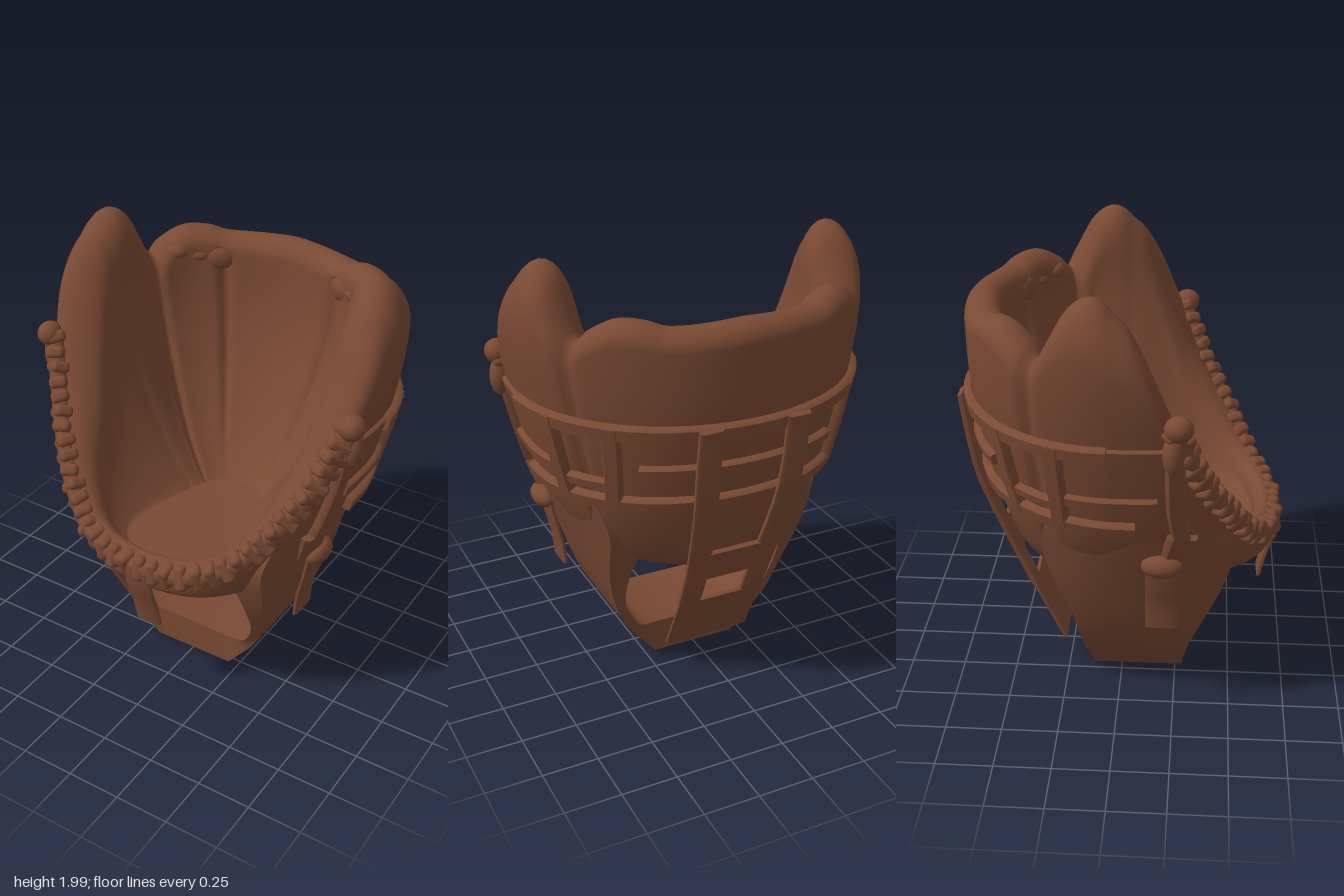
import * as THREE from 'three';
import { toCreasedNormals } from 'three/addons/utils/BufferGeometryUtils.js';
import { RoundedBoxGeometry } from 'three/addons/geometries/RoundedBoxGeometry.js';

const V = (x, y, z) => new THREE.Vector3(x, y, z);
const RAD = Math.PI / 180;
const leather = new THREE.MeshStandardMaterial({ color: 0x7a4a33 });
leather.name = 'brown leather';

// Smooth interpolation through [key, value] pairs
function interp(t, x) {
  const n = t.length - 1;
  if (x <= t[0][0]) return t[0][1];
  if (x >= t[n][0]) return t[n][1];
  let i = 0;
  while (x > t[i + 1][0]) i++;
  const slope = (k) => {
    const a = t[Math.max(k - 1, 0)], b = t[Math.min(k + 1, n)];
    return (b[1] - a[1]) / (b[0] - a[0]);
  };
  const h = t[i + 1][0] - t[i][0], s = (x - t[i][0]) / h, s2 = s * s, s3 = s2 * s;
  return (2 * s3 - 3 * s2 + 1) * t[i][1] + (s3 - 2 * s2 + s) * h * slope(i)
    + (3 * s2 - 2 * s3) * t[i + 1][1] + (s3 - s2) * h * slope(i + 1);
}

// Skin closed rings of equal length; flips itself so faces point outward
function loft(rings, crease) {
  const n = rings[0].length, pos = [], idx = [];
  rings.forEach((r) => r.forEach((p) => pos.push(p.x, p.y, p.z)));
  for (let j = 0; j < rings.length - 1; j++) for (let i = 0; i < n; i++) {
    const a = j * n + i, b = j * n + (i + 1) % n;
    idx.push(a, b, a + n, b, b + n, a + n);
  }
  const flat = rings.flat();
  let vol = 0;
  for (let k = 0; k < idx.length; k += 3)
    vol += flat[idx[k]].dot(flat[idx[k + 1]].clone().cross(flat[idx[k + 2]]));
  if (vol < 0) idx.reverse();
  const g = new THREE.BufferGeometry();
  g.setAttribute('position', new THREE.Float32BufferAttribute(pos, 3));
  g.setIndex(idx);
  if (crease) return toCreasedNormals(g, crease);
  g.computeVertexNormals();
  return g;
}
function capped(rings, crease = 0.7) {
  const end = (r) => {
    const c = r.reduce((s, p) => s.add(p), V(0, 0, 0)).divideScalar(r.length);
    return r.map(() => c.clone());
  };
  return loft([end(rings[0]), ...rings, end(rings[rings.length - 1])], crease);
}

// Shell plan by height, and rim height and wall thickness by angle from the front
const HALF_W = [[0.6, 0.46], [0.8, 0.585], [1, 0.665], [1.4, 0.765], [1.7, 0.81], [2, 0.8]];
const BACK = [[0.6, 0.46], [0.8, 0.54], [1, 0.6], [1.4, 0.675], [1.7, 0.69], [2, 0.69]];
const FRONT = [[0.6, 0.63], [0.7, 0.69], [2, 0.7]];
const RIM = [[0, 0.82], [19, 0.84], [36, 0.91], [51, 1.08], [65, 1.3], [74, 1.54], [84, 1.82], [91, 1.95],
  [99, 2], [108, 1.95], [115, 1.82], [121, 1.72], [126, 1.77], [136, 1.83], [146, 1.83], [154, 1.805], [180, 1.82]];
const WALL = [[0, 0.1], [40, 0.12], [70, 0.2], [95, 0.25], [115, 0.22], [140, 0.18], [180, 0.17]];
const ROUND = [[0, 0.07], [40, 0.08], [75, 0.16], [95, 0.24], [115, 0.14], [140, 0.09], [180, 0.09]];
const FILLET = [[0, 0.02], [40, 0.06], [90, 0.1], [130, 0.16], [180, 0.18]];

function shellPoint(phi, y, d = 0, k = 1) {
  const s = Math.sin(phi * RAD), c = Math.cos(phi * RAD), e = c > 0 ? 0.8 : 1;
  const pw = (v) => Math.sign(v) * Math.abs(v) ** e;
  return V((interp(HALF_W, y) - d) * k * pw(s), y, (interp(c > 0 ? FRONT : BACK, y) - d) * k * pw(c));
}

function shellProfile(phi) {
  const a = Math.abs(phi), H = interp(RIM, a), w = interp(WALL, a), r = interp(ROUND, a), f = interp(FILLET, a);
  const groove = (at, width) => Math.exp(-(((a - at) / width) ** 2));
  const seam = 0.03 * groove(121, 2.2), top = H - r, floor = 0.72, out = [];
  for (const k of [0, 0.5, 0.85]) out.push(shellPoint(phi, 0.6, 0.06, k));
  for (let i = 0; i <= 16; i++) {
    const y = 0.6 + (top - 0.6) * i / 16;
    out.push(shellPoint(phi, y, 0.06 * Math.max(0, 1 - (y - 0.6) / 0.08) ** 2 + seam));
  }
  for (let i = 1; i < 14; i++) {
    const t = Math.PI * i / 14;
    out.push(shellPoint(phi, top + r * Math.sin(t), w / 2 + (seam - w / 2) * Math.cos(t)));
  }
  for (let i = 0; i <= 18; i++) {
    const v = 1 - i / 18, pad = 0.03 * groove(153, 2.5) * Math.min(1, 2 * v);
    out.push(shellPoint(phi, floor + (top - floor) * v, w + f * (1 - v) ** 2 - seam - pad));
  }
  for (const k of [0.92, 0.7, 0.4, 0]) out.push(shellPoint(phi, floor - 0.012 * (1 - k), w + f, k));
  return out;
}

// Flat strip through points, each with an outward normal
function strip(pts, normals, width, thick) {
  return capped(pts.map((p, i) => {
    const t = pts[Math.min(i + 1, pts.length - 1)].clone().sub(pts[Math.max(i - 1, 0)]);
    const n = normals[i], side = n.clone().cross(t).normalize();
    return [[-1, -1], [1, -1], [1, 0.3], [0.75, 1], [-0.75, 1], [-1, 0.3]].map(([u, v]) =>
      p.clone().addScaledVector(side, u * width / 2).addScaledVector(n, v * thick / 2));
  }));
}
// Strap lying on the shell between [angle, height] points
function shellStrap(path, width, thick = 0.035, lift = 0.015) {
  const pts = [], ns = [], N = 28;
  const keys = (c) => path.map((p, i) => [i / (path.length - 1), p[c]]);
  for (let i = 0; i <= N; i++) {
    const a = interp(keys(0), i / N), y = interp(keys(1), i / N);
    const du = shellPoint(a + 1, y).sub(shellPoint(a - 1, y));
    const dv = shellPoint(a, y + 0.02).sub(shellPoint(a, y - 0.02));
    pts.push(shellPoint(a, y, -lift));
    ns.push(du.cross(dv).normalize());
  }
  return strip(pts, ns, width, thick);
}
function hangingStrap(points, normal, width, thick) {
  const pts = new THREE.CatmullRomCurve3(points).getPoints(12);
  return strip(pts, pts.map(() => normal), width, thick);
}

export function createModel() {
  const group = new THREE.Group();
  const add = (name, geo, pos, scale) => {
    const m = new THREE.Mesh(geo, leather);
    m.name = name;
    if (pos) m.position.copy(pos);
    if (scale) m.scale.set(...scale);
    group.add(m);
    return m;
  };

  // Padded bucket shell
  const cols = [];
  for (let i = 0; i < 200; i++) cols.push(shellProfile(-180 + i * 1.8));
  add('paddedShell', loft(cols[0].map((_, j) => cols.map((c) => c[j]))));

  // Sling under the shell: outer x,y, inner x,y, front z, back z, bow
  const S = [[0.2, 0.01, 0.2, 0.17, 0.28, -0.13, 0], [0.36, 0.22, 0.3, 0.21, 0.31, -0.17, 0],
    [0.455, 0.4, 0.395, 0.36, 0.37, -0.2, 0.02], [0.53, 0.6, 0.43, 0.55, 0.45, -0.27, 0.05],
    [0.6, 0.8, 0.44, 0.75, 0.5, -0.33, 0.1], [0.65, 0.97, 0.5, 0.95, 0.44, -0.3, 0.1]];
  const slingRing = (t, sx) => {
    const [ox, oy, ix, iy, zf, zb, bow] = S[0].map((_, c) => interp(S.map((r, i) => [i, r[c]]), t));
    const ring = [];
    for (const [x, y, dir] of [[ox, oy, 1], [ix, iy, -1]]) for (let i = -4; i <= 4; i++) {
      const k = dir * i / 4;
      ring.push(V(sx * (x - bow * k * k), y, (zf + zb) / 2 + k * (zf - zb) / 2));
    }
    return ring;
  };
  const rings = [];
  for (let i = 25; i >= 0; i--) rings.push(slingRing(i / 5, -1));
  for (let i = 0; i <= 25; i++) rings.push(slingRing(i / 5, 1));
  add('sling', capped(rings, 0.6));

  // Laced front rim
  const rimPts = [];
  for (let a = -74; a <= 74; a += 4) rimPts.push(shellPoint(a, interp(RIM, Math.abs(a)) - 0.06, 0.015));
  const rim = new THREE.CatmullRomCurve3(rimPts);
  add('rimWelt', new THREE.TubeGeometry(rim, 80, 0.042, 8));
  const stitch = new RoundedBoxGeometry(0.085, 0.115, 0.055, 2, 0.022);
  for (let i = 0; i <= 36; i++) {
    const m = add('rimLacing', stitch, rim.getPointAt(i / 36));
    m.lookAt(m.position.clone().add(rim.getTangentAt(i / 36)));
    m.rotateZ(0.3 * Math.sin(i * 2.3));
    m.rotateY(0.25 * Math.cos(i * 1.7));
  }

  // Front tab
  add('frontTab', hangingStrap([V(0, 0.76, 0.71), V(0, 0.66, 0.695), V(0, 0.55, 0.66), V(0, 0.43, 0.632)],
    V(0, -0.2, 0.98), 0.125, 0.02));

  // Long straps around the back
  add('upperBackBand', shellStrap([[92, 1.38], [135, 1.375], [180, 1.375], [225, 1.375], [268, 1.38]], 0.07, 0.035, 0.02));
  add('lowerBackBand', shellStrap([[86, 0.995], [120, 1.01], [180, 1.03], [240, 1.01], [274, 0.995]], 0.065, 0.035, 0.02));
  add('middleBackBand', shellStrap([[143, 1.19], [180, 1.2], [217, 1.19]], 0.05));

  // Back plate with a square opening
  const n = V(0, -0.4, -0.917).normalize();
  const spine = (y, x) => V(x, y, -interp([[0.14, 0.27], [0.43, 0.41], [0.65, 0.505], [1, 0.635], [1.4, 0.7]], y));
  add('backPlate', hangingStrap([spine(0.14, 0), spine(0.29, 0), spine(0.43, 0)], n, 0.41, 0.018));
  add('backPlateBar', hangingStrap([spine(0.58, 0), spine(0.66, 0), spine(0.74, 0)], n, 0.42, 0.022));

  for (const s of [1, -1]) {
    const ang = (a) => s * a;
    add('backPlateUpright', hangingStrap([spine(0.43, s * 0.155), spine(0.58, s * 0.158), spine(0.7, s * 0.165),
      spine(1, s * 0.19), spine(1.2, s * 0.2), spine(1.4, s * 0.2)], n, 0.108, 0.024));

    // Side webbing
    add('sideUpright', shellStrap([[ang(111), 1.4], [ang(111.5), 1.0]], 0.075, 0.04, 0.02));
    add('rearUpright', shellStrap([[ang(135), 1.4], [ang(134), 1.2], [ang(132), 1.0]], 0.075, 0.04, 0.02));
    add('forwardWebStrap', shellStrap([[ang(80), 1.13], [ang(109), 1.13]], 0.055, 0.03, 0.01));
    add('upperWebStrap', shellStrap([[ang(78), 1.38], [ang(94), 1.38]], 0.05, 0.025, 0.005));
    add('innerWebStrap', shellStrap([[ang(111), 1.1], [ang(132), 1.11]], 0.045));

    // Side strap with knots and a hanging end
    add('sideStrap', shellStrap([[ang(74), 1.5], [ang(74.5), 1.3], [ang(74), 1.1], [ang(72), 0.92]], 0.08, 0.04, 0.015));
    const ball = new THREE.SphereGeometry(1, 18, 12);
    add('rimKnot', ball, V(s * 0.765, 1.5, 0.26), [0.055, 0.055, 0.06]);
    add('strapKnot', ball, V(s * 0.765, 1.39, 0.24), [0.045, 0.09, 0.045]);
    add('strapBuckle', shellStrap([[ang(71.5), 0.95], [ang(73), 0.87], [ang(74), 0.8]], 0.13, 0.05, 0.01));
    add('strapBead', ball, V(s * 0.61, 0.79, 0.195), [0.052, 0.052, 0.09]);
    add('hangingEnd', hangingStrap([V(s * 0.6, 0.78, 0.2), V(s * 0.575, 0.66, 0.195), V(s * 0.55, 0.55, 0.195),
      V(s * 0.538, 0.44, 0.195)], V(s * 0.97, -0.2, 0), 0.145, 0.018));

    // Ties joining the side flap to the back pad
    for (const [x, y, z, a, b, c] of [[0.32, 1.7, -0.47, 0.075, 0.06, 0.035], [0.41, 1.71, -0.42, 0.06, 0.03, 0.035],
      [0.49, 1.73, -0.36, 0.06, 0.04, 0.045], [0.56, 1.71, -0.39, 0.06, 0.045, 0.04]])
      add('flapTie', ball, V(s * x, y, z), [a, b, c]).rotation.y = -s * 0.5;
  }
  return group;
}
